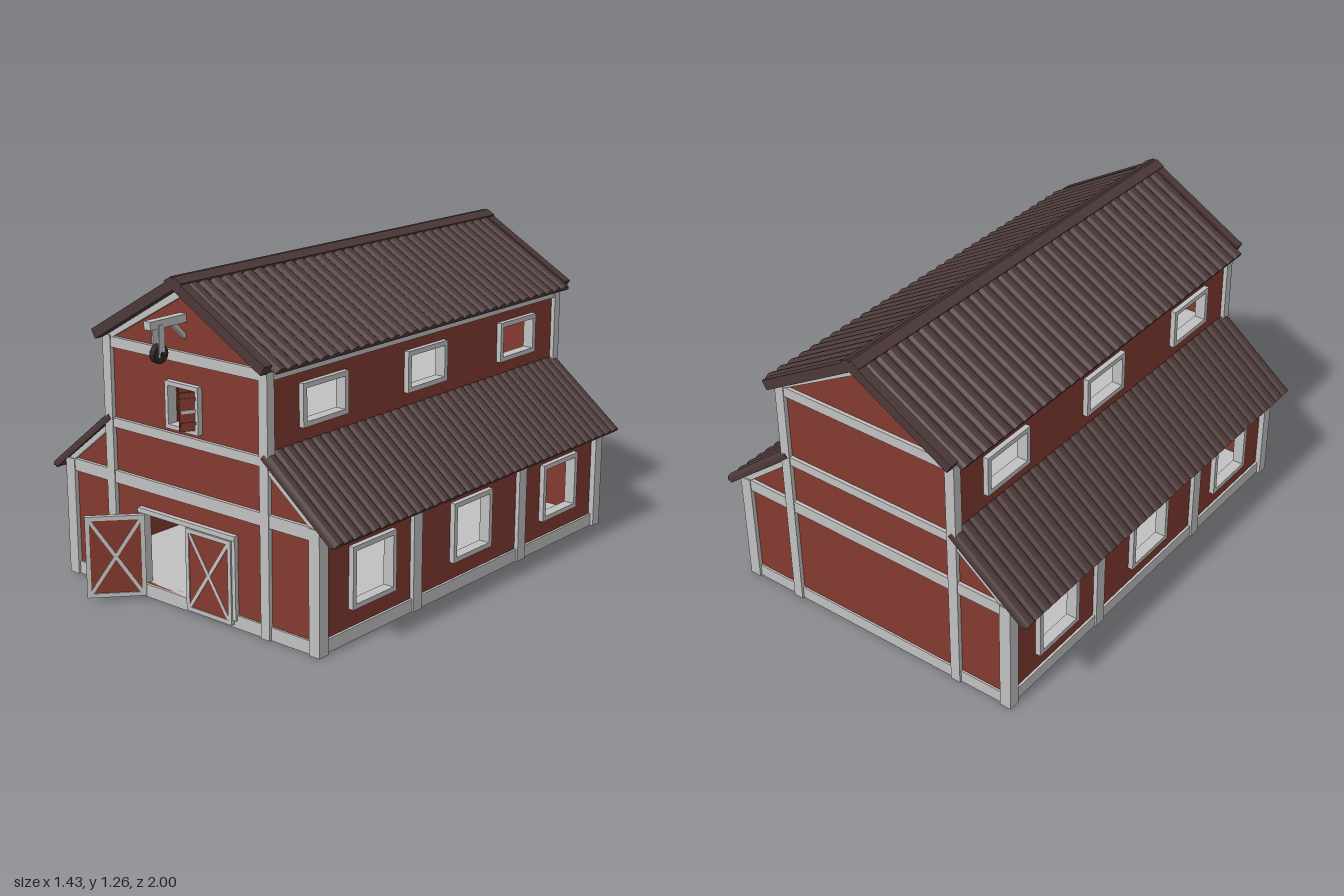
import * as THREE from 'three';

const mat = (name, color) => {
  const m = new THREE.MeshStandardMaterial({ color });
  m.name = name;
  return m;
};

export function createModel() {
  const red = mat('barn red', 0x82392f);
  const trim = mat('light grey trim', 0xc0c0c0);
  const roofMat = mat('dark roof', 0x4c3838);
  const iron = mat('dark iron', 0x2c2626);
  const barn = new THREE.Group();
  barn.name = 'barn';

  const FRONT = 0.815, BACK = -0.945, MID = (FRONT + BACK) / 2, T = 0.025;

  const group = (name, parent = barn) => {
    const g = new THREE.Group();
    g.name = name;
    parent.add(g);
    return g;
  };
  const add = (parent, name, geo, m) => {
    const mesh = new THREE.Mesh(geo, m);
    mesh.name = name;
    parent.add(mesh);
    return mesh;
  };
  // box given by its limits
  const box = (parent, name, m, x0, x1, y0, y1, z0, z1) => {
    const mesh = add(parent, name, new THREE.BoxGeometry(x1 - x0, y1 - y0, z1 - z0), m);
    mesh.position.set((x0 + x1) / 2, (y0 + y1) / 2, (z0 + z1) / 2);
    return mesh;
  };
  // straight bar in the xy plane between two points
  const bar = (parent, name, m, a, b, width, depth, z) => {
    const dx = b[0] - a[0], dy = b[1] - a[1];
    const mesh = add(parent, name, new THREE.BoxGeometry(Math.hypot(dx, dy), width, depth), m);
    mesh.position.set((a[0] + b[0]) / 2, (a[1] + b[1]) / 2, z);
    mesh.rotation.z = Math.atan2(dy, dx);
    return mesh;
  };
  // rectangular frame in the xy plane, centred on z = 0
  const frame = (parent, name, x0, x1, y0, y1, w, d) => {
    const g = group(name, parent);
    for (const [a, b] of [[x0, x0 + w], [x1 - w, x1]]) box(g, 'upright', trim, a, b, y0, y1, -d / 2, d / 2);
    for (const [a, b] of [[y0, y0 + w], [y1 - w, y1]]) box(g, 'crossbar', trim, x0 + w, x1 - w, a, b, -d / 2, d / 2);
    return g;
  };
  // flat wall with rectangular holes [x0, x1, y0, y1]
  const wall = (parent, name, points, holes) => {
    const s = new THREE.Shape(points.map(p => new THREE.Vector2(...p)));
    for (const [x0, x1, y0, y1] of holes) {
      s.holes.push(new THREE.Path([[x0, y0], [x0, y1], [x1, y1], [x1, y0]].map(p => new THREE.Vector2(...p))));
    }
    return add(parent, name, new THREE.ExtrudeGeometry(s, { depth: T, bevelEnabled: false }), red);
  };

  // floors
  box(barn, 'groundFloor', trim, -0.625, 0.625, 0, 0.05, BACK - 0.008, FRONT + 0.008);
  box(barn, 'upperFloor', trim, -0.385, 0.385, 0.635, 0.665, BACK + 0.01, FRONT - 0.01);

  // end walls
  const half = [[0.615, 0.01], [0.615, 0.46], [0.39, 0.64], [0.39, 0.98]];
  const outline = [...half, [0, 1.205], ...half.map(([x, y]) => [-x, y]).reverse()];
  wall(barn, 'frontWall', outline, [[-0.23, 0.23, 0.05, 0.335], [-0.07, 0.07, 0.705, 0.855]]).position.z = FRONT - T;
  wall(barn, 'backWall', outline, []).position.z = BACK;

  // side walls and windows, drawn flat and turned to face sideways
  const windows = [0.527, -0.063, -0.66];
  const z0 = BACK + 0.01, z1 = FRONT - 0.01;
  for (const side of [1, -1]) {
    const name = side > 0 ? 'left' : 'right';
    for (const [level, x, yA, yB, wA, wB] of [
      ['Lower', 0.615, 0.01, 0.46, 0.12, 0.355], ['Upper', 0.39, 0.64, 0.985, 0.74, 0.9]]) {
      const g = group(name + level + 'Side');
      g.rotation.y = side * Math.PI / 2;
      g.position.x = side * x;
      // local x runs along -z on the left side and +z on the right
      const u = z => -side * z;
      const holes = windows.map(z => {
        const c = u(z);
        const f = frame(g, 'windowFrame', c - 0.122, c + 0.122, wA, wB, 0.019, 0.045);
        f.position.z = -0.002;
        return [c - 0.108, c + 0.108, wA + 0.013, wB - 0.013];
      });
      const [a, b] = [u(z0), u(z1)].sort((p, q) => p - q);
      wall(g, 'sideWall', [[a, yA], [b, yA], [b, yB], [a, yB]], holes).position.z = -T;
    }
    // posts along the sides
    for (const [a, b] of [[0.25, 0.3], [-0.42, -0.37]]) {
      const x = [side * 0.595, side * 0.632].sort((p, q) => p - q);
      box(barn, 'sidePost', trim, x[0], x[1], 0, 0.46, a, b);
    }
    // beam under the upper eaves
    const e = [side * 0.37, side * 0.402].sort((p, q) => p - q);
    box(barn, 'eavesBeam', trim, e[0], e[1], 0.94, 0.982, BACK, FRONT);
  }

  // trim on both end walls
  for (const [name, zf, out] of [['front', FRONT, 1], ['back', BACK, -1]]) {
    const g = group(name + 'Trim');
    const za = zf - 0.014, zb = zf + 0.014;
    for (const s of [1, -1]) {
      const xs = (a, b) => [s * a, s * b].sort((p, q) => p - q);
      const zs = d => [zf + out * 0.017, zf - out * d].sort((p, q) => p - q);
      box(g, 'cornerPost', trim, ...xs(0.59, 0.638), 0, 0.465, ...zs(0.03));
      box(g, 'towerPost', trim, ...xs(0.366, 0.407), 0, 0.985, ...zs(0.02));
      bar(g, 'gableTrim', trim, [s * 0.405, 0.968], [0, 1.193], 0.028, 0.026, zf);
      bar(g, 'leanToTrim', trim, [s * 0.395, 0.633], [s * 0.61, 0.463], 0.02, 0.026, zf);
    }
    box(g, 'lowBeam', trim, -0.6, 0.6, 0.42, 0.468, za, zb);
    box(g, 'middleBeam', trim, -0.38, 0.38, 0.636, 0.672, za, zb);
    box(g, 'highBeam', trim, -0.38, 0.38, 0.94, 0.98, za, zb);
  }

  // ribbed roof covering: row of rounded ribs swept down the slope
  const ribs = (length, width, count, height) => {
    const s = new THREE.Shape(), p = width / count;
    s.moveTo(-width / 2, -0.004);
    for (let i = 0; i < count; i++) {
      for (let k = 0; k <= 6; k++) {
        const t = Math.PI * k / 6;
        s.lineTo(-width / 2 + p * (i + 0.5 - 0.5 * Math.cos(t)), height * Math.sin(t));
      }
    }
    s.lineTo(width / 2, -0.004);
    return new THREE.ExtrudeGeometry(s, { depth: length, bevelEnabled: false }).rotateY(Math.PI / 2);
  };
  for (const side of [1, -1]) {
    const name = side > 0 ? 'left' : 'right';
    const slope = (label, x, y, angle, z) => {
      const turn = group(label);
      turn.rotation.y = side > 0 ? 0 : Math.PI;
      turn.position.z = z;
      const g = group('slope', turn);
      g.position.set(x, y, 0);
      g.rotation.z = -angle;
      return g;
    };
    // upper roof with end boards and ridge cap
    const up = slope(name + 'UpperRoof', 0, 1.235, 0.525, -0.067);
    box(up, 'roofBoard', roofMat, 0, 0.485, -0.022, 0, -0.932, 0.932);
    add(up, 'roofRibs', ribs(0.515, 1.79, 32, 0.018), roofMat);
    for (const s of [1, -1]) {
      const z = [s * 0.893, s * 0.932].sort((a, b) => a - b);
      box(up, 'endBoard', roofMat, 0, 0.486, -0.024, 0.015, ...z);
    }
    box(up, 'ridgeCap', roofMat, -0.005, 0.036, 0, 0.021, -0.932, 0.932);
    // lean-to roof
    const low = slope(name + 'LowerRoof', 0.385, 0.678, 0.675, -0.065);
    box(low, 'roofBoard', roofMat, 0, 0.405, -0.016, 0, -0.9, 0.9);
    add(low, 'roofRibs', ribs(0.412, 1.8, 36, 0.016), roofMat);
  }

  // barn door leaf: hinge at local x = 0
  const leaf = (name, w) => {
    const g = group(name);
    const y0 = 0.012, y1 = 0.33;
    box(g, 'panel', red, 0.005, w - 0.005, y0 + 0.005, y1 - 0.005, -0.006, 0.006);
    frame(g, 'leafFrame', 0, w, y0, y1, 0.016, 0.02);
    bar(g, 'brace', trim, [0.012, y0 + 0.01], [w - 0.012, y1 - 0.01], 0.013, 0.017, 0);
    bar(g, 'brace', trim, [0.012, y1 - 0.01], [w - 0.012, y0 + 0.01], 0.013, 0.018, 0);
    return g;
  };
  leaf('closedDoor', 0.225).position.set(0.003, 0, FRONT + 0.012);
  const open = leaf('openDoor', 0.22);
  open.position.set(-0.215, 0, FRONT + 0.014);
  open.rotation.y = -(Math.PI - Math.atan2(0.16, 0.145));
  // door surround
  const surround = group('doorSurround');
  box(surround, 'lintel', trim, -0.245, 0.245, 0.333, 0.352, FRONT - 0.03, FRONT + 0.02);
  for (const s of [1, -1]) box(surround, 'jamb', trim, s * 0.236 - 0.008, s * 0.236 + 0.008, 0.03, 0.34, FRONT - 0.03, FRONT + 0.016);

  // loft window with two shutters
  frame(barn, 'loftWindowFrame', -0.082, 0.082, 0.69, 0.866, 0.016, 0.045).position.z = FRONT;
  for (const [name, x, z, turn] of [['leftShutter', 0.066, FRONT + 0.015, 2.18 - 0.15], ['rightShutter', -0.066, FRONT - 0.02, 1.35]]) {
    const g = group(name);
    box(g, 'panel', red, 0, 0.062, 0.708, 0.85, -0.005, 0.005);
    for (const y of [0.735, 0.78, 0.823]) box(g, 'batten', y === 0.78 ? trim : red, 0.004, 0.058, y - 0.006, y + 0.006, -0.009, 0.009);
    g.position.set(x, 0, z);
    g.rotation.y = name === 'leftShutter' ? -turn : turn;
  }

  // hoist over the loft window
  const hoist = group('hoist');
  box(hoist, 'hoistBeam', trim, -0.016, 0.016, 1.088, 1.118, FRONT - 0.02, 0.99);
  const strut = box(hoist, 'hoistStrut', trim, -0.01, 0.01, 1.055, 1.071, 0.8, 0.885);
  strut.rotation.x = -Math.PI / 4;
  for (const s of [1, -1]) box(hoist, 'pulleyHanger', trim, s * 0.016 - 0.003, s * 0.016 + 0.003, 0.985, 1.1, 0.925, 0.952);
  const wheel = add(hoist, 'pulleyWheel', new THREE.CylinderGeometry(0.034, 0.034, 0.024, 16).rotateZ(Math.PI / 2), iron);
  wheel.position.set(0, 0.995, 0.938);
  const axle = add(hoist, 'pulleyAxle', new THREE.CylinderGeometry(0.01, 0.01, 0.044, 10).rotateZ(Math.PI / 2), iron);
  axle.position.copy(wheel.position);

  return barn;
}
